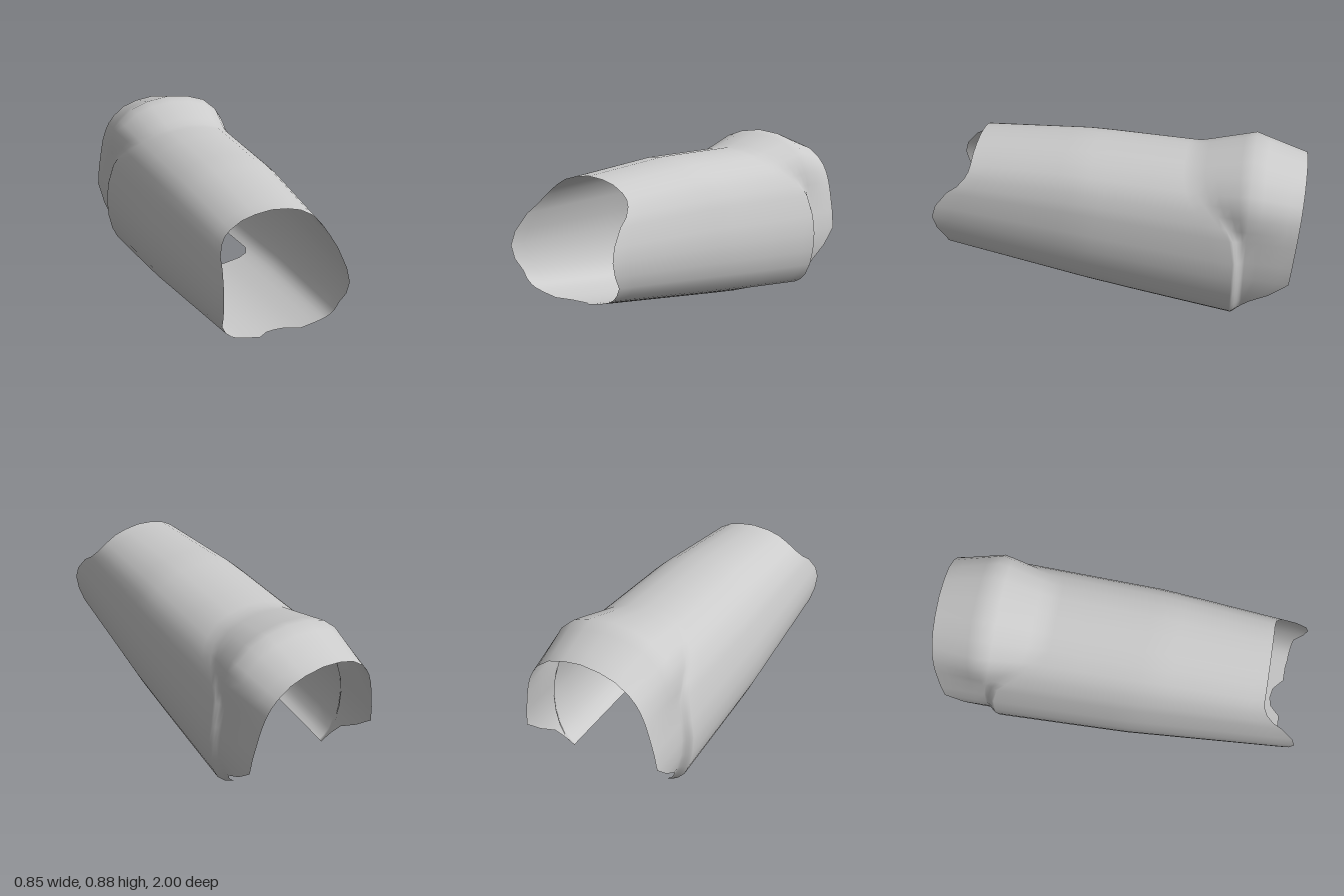
import * as THREE from 'three';

// Piecewise linear lookup in a list of [key, value], keys rising
function lookup(table, k) {
  if (k <= table[0][0]) return table[0][1];
  for (let i = 1; i < table.length; i++) {
    const [k0, v0] = table[i - 1], [k1, v1] = table[i];
    if (k <= k1) return v0 + (v1 - v0) * (k - k0) / (k1 - k0);
  }
  return table[table.length - 1][1];
}
const { lerp, smoothstep } = THREE.MathUtils;

// Half cross-section from top to bottom: u = share of half-width, v = share of height
const HALF = [[0, 1], [0.25, 0.985], [0.45, 0.955], [0.62, 0.9], [0.71, 0.857], [0.78, 0.81], [0.85, 0.745],
  [0.9, 0.68], [0.97, 0.54], [1, 0.42], [0.985, 0.3], [0.94, 0.2], [0.87, 0.125], [0.79, 0.085],
  [0.72, 0.065], [0.66, 0.054], [0.55, 0.035], [0.32, 0.012], [0.15, 0.003], [0, 0]];
const CUT = 14; // profile point where the opening underneath begins

// Outline of the sleeve along z
const TOP = [[-1, 0.8], [-0.4, 0.81], [0.2, 0.82], [0.78, 0.785], [1, 0.77]];
const BOTTOM = [[-1, -0.1], [-0.13, 0.015], [0.86, 0.158], [1, 0.18]];
const LEFT = [[-1, 0.42], [-0.65, 0.424], [0.15, 0.38], [1, 0.29]];
const RIGHT = [[-1, -0.42], [-0.65, -0.425], [0.1, -0.425], [1, -0.38]];

// Scalloped front rim (by v), rear rim (by height)
const FRONT = [[0.02, 0.925], [0.22, 0.94], [0.33, 0.995], [0.43, 1], [0.58, 0.97], [0.67, 0.92],
  [0.77, 0.83], [0.87, 0.79], [1, 0.785]];
const REAR = [[0, -0.7], [0.09, -0.75], [0.145, -0.8], [0.2, -0.88], [0.29, -0.96], [0.8, -1]];

const domeWeight = v => smoothstep(v, 0.6, 1);
const breakZ = v => lerp(-0.66, -0.41, domeWeight(v)); // where the rear cuff starts

// Point on the shell
function shellPoint(u, v, side, z) {
  const l = lookup(LEFT, z), r = lookup(RIGHT, z), b = lookup(BOTTOM, z);
  const cx = (l + r) / 2;
  let x = side * u * (l - r) / 2;
  let y = b + v * (lookup(TOP, z) - b);
  const zb = breakZ(v);
  if (z < zb) { // cuff: domed on top, stepped in at the sides
    const stepIn = 1 - 0.08 * smoothstep(zb - z, 0, 0.06);
    const dome = lookup([[-1, 1], [-0.72, 1.2], [zb, 1]], z);
    const s = lerp(stepIn, dome, domeWeight(v));
    x *= s;
    y = 0.4 + (y - 0.4) * s;
  }
  return [cx + x, Math.max(y, 0), z];
}

// z stations of one lengthwise strip, front to rear
function stations(u, v, index) {
  let front = lookup(FRONT, v);
  if (v < 0.04) front = lookup([[0, 0.86], [0.15, 0.87], [0.32, 0.922]], u);
  const middle = index < CUT ? -0.2 : lookup([[0.55, -0.13], [0.66, -0.145], [0.72, -0.2]], u);
  const list = [];
  for (let i = 0; i <= 12; i++) list.push(lerp(front, middle, i / 12));
  const zb = breakZ(v);
  const rear = lookup(REAR, lerp(-0.075, 0.8, v));
  for (let i = 1; i <= 4; i++) list.push(lerp(middle, zb, i / 4));
  const crest = Math.max(-0.72, rear + 0.01);
  for (let i = 1; i <= 5; i++) list.push(lerp(zb, crest, i / 5));
  for (let i = 1; i <= 4; i++) list.push(lerp(crest, rear, i / 4));
  return list;
}

export function createModel() {
  const group = new THREE.Group();
  group.name = 'sleeve';

  // Closed ring of strips: down the left side, up the right side
  const last = HALF.length - 1;
  const ring = [];
  for (let i = 0; i <= last; i++) ring.push([i, 1]);
  for (let i = last - 1; i > 0; i--) ring.push([i, -1]);

  const positions = [], faces = [];
  let rows = 0;
  for (const [i, side] of ring) {
    const [u, v] = HALF[i];
    const zs = stations(u, v, i);
    rows = zs.length;
    for (const z of zs) positions.push(...shellPoint(u, v, side, z));
  }
  ring.forEach(([i], c) => {
    const n = (c + 1) % ring.length;
    const underside = i > CUT || ring[n][0] > CUT; // stops short: open beneath
    const end = underside ? 12 : rows - 1;
    for (let k = 0; k < end; k++) {
      const a = c * rows + k, b = n * rows + k;
      faces.push(a, a + 1, b, b, a + 1, b + 1);
    }
  });

  const geometry = new THREE.BufferGeometry();
  geometry.setAttribute('position', new THREE.Float32BufferAttribute(positions, 3));
  geometry.setIndex(faces);
  geometry.computeVertexNormals();
  const shell = new THREE.Mesh(geometry,
    new THREE.MeshStandardMaterial({ color: 0xcccccc, side: THREE.DoubleSide }));
  shell.name = 'sleeveShell';
  group.add(shell);
  return group;
}
